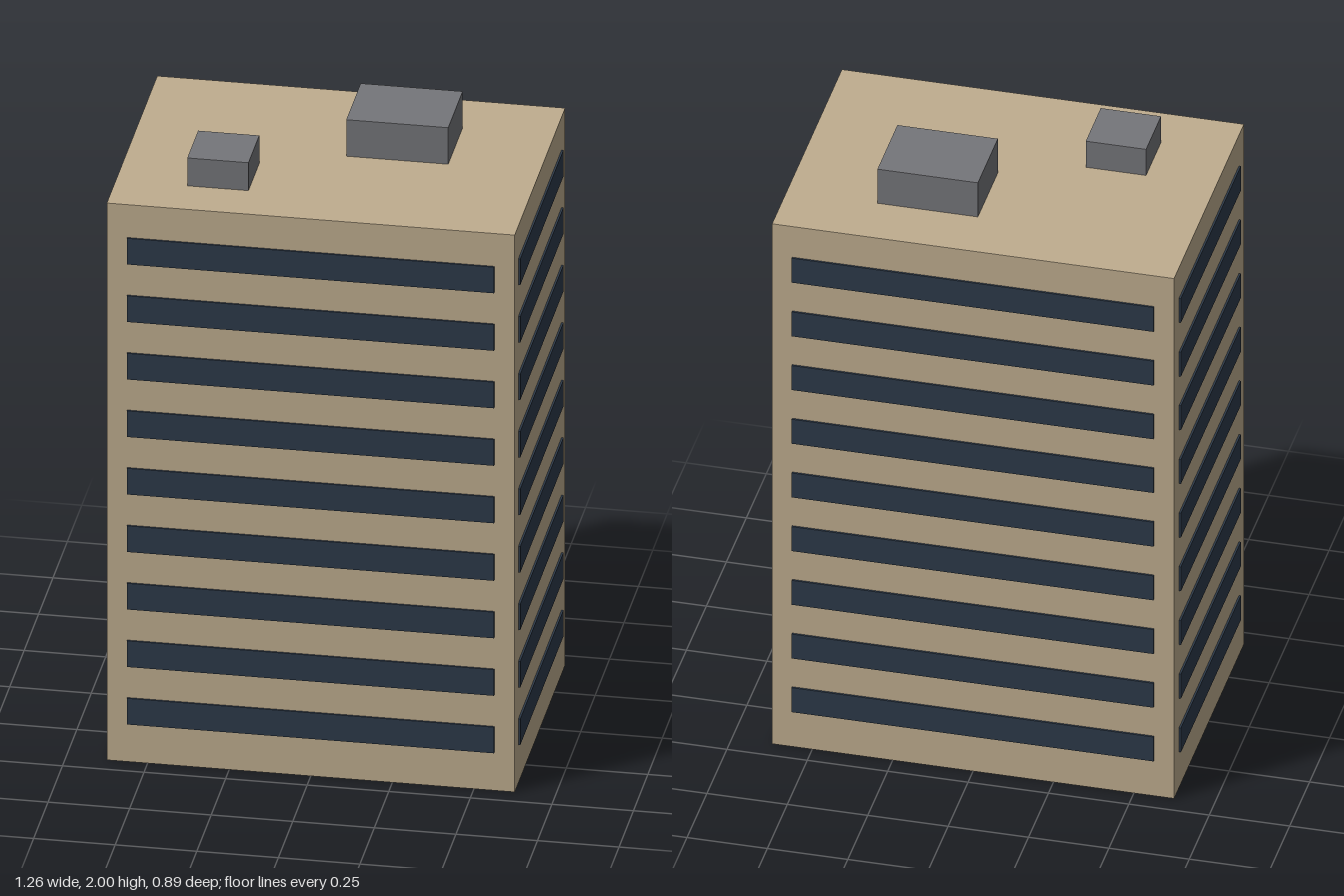
import * as THREE from 'three';

export function createModel() {
  const group = new THREE.Group();
  const wall = new THREE.MeshStandardMaterial({ color: 0xbfad8f });
  const glass = new THREE.MeshStandardMaterial({ color: 0x2d3a4a });
  const plant = new THREE.MeshStandardMaterial({ color: 0x75767a });

  const W = 1.25, D = 0.875, H = 1.877;

  // Box given by its size and the centre of its base
  function box(name, material, w, h, d, x, y, z) {
    const mesh = new THREE.Mesh(new THREE.BoxGeometry(w, h, d), material);
    mesh.name = name;
    mesh.position.set(x, y + h / 2, z);
    group.add(mesh);
  }

  // Main block
  box('tower', wall, W, H, D, 0, 0, 0);

  // Ribbon windows: one shallow strip per floor on each of the four sides
  const floors = 9, stripH = 0.088, proud = 0.006;
  for (let i = 0; i < floors; i++) {
    const y = 0.128 + i * 0.1938;
    for (const s of [-1, 1]) {
      box(s > 0 ? 'frontWindow' : 'backWindow', glass, 1.125, stripH, proud * 2, 0, y, s * D / 2);
      box(s > 0 ? 'leftWindow' : 'rightWindow', glass, proud * 2, stripH, 0.75, s * W / 2, y, 0);
    }
  }

  // Rooftop plant boxes
  box('largeRoofUnit', plant, 0.3125, 2 - H, 0.25, 0.1875, H, -0.126);
  box('smallRoofUnit', plant, 0.1875, 0.094, 0.1875, -0.3125, H, 0.1865);

  return group;
}
